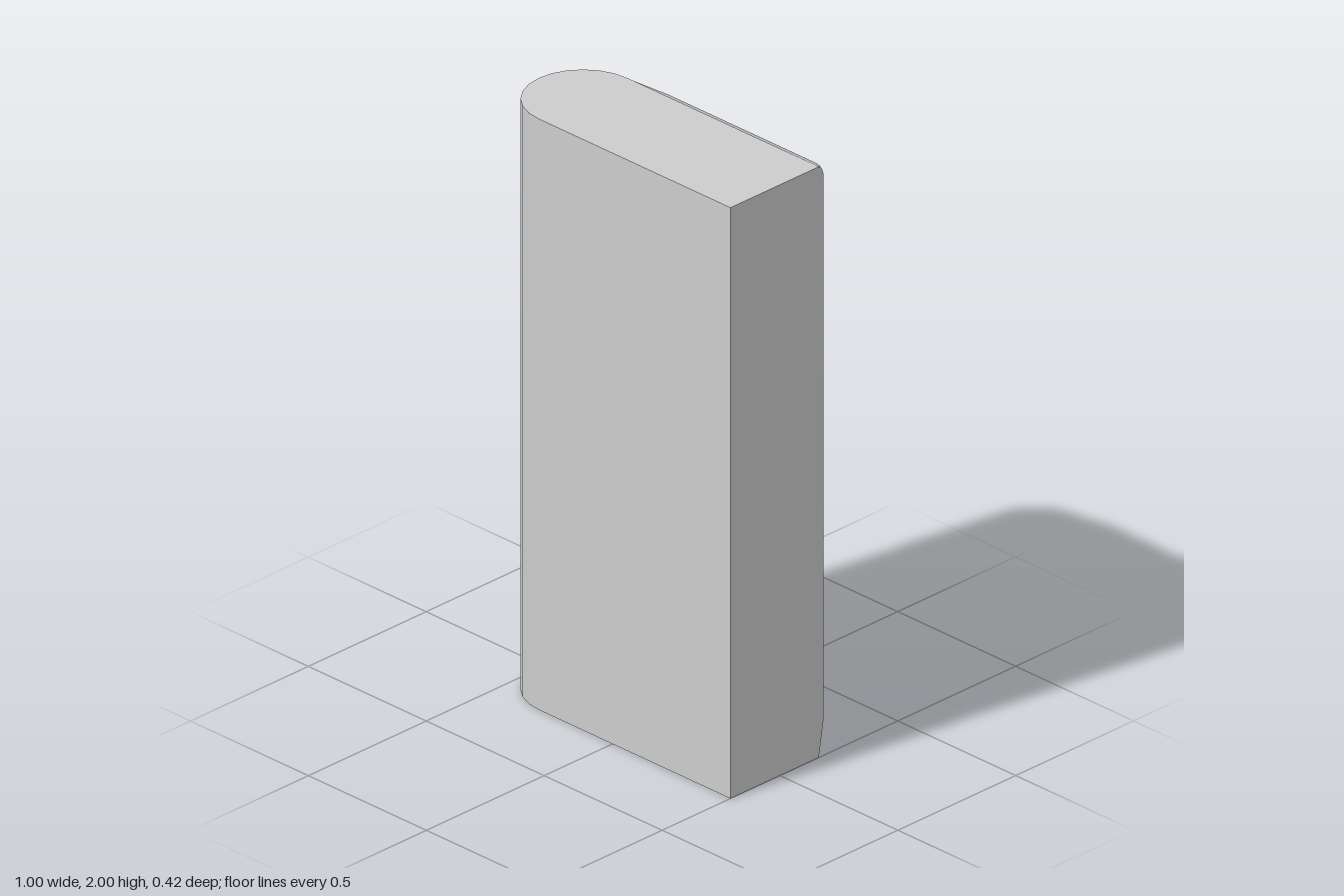
import * as THREE from 'three';

const HEIGHT = 2, RIGHT = 0.5, FRONT = 0.21, BACK = -0.165;
const R = (FRONT - BACK) / 2;            // radius of the rounded side
const CX = -0.5 + R, CZ = (FRONT + BACK) / 2;
const ARC_STEPS = 12;

// Upright slab with one half-round side; the shape's y is -z
function slabGeometry() {
  const pts = [[RIGHT, -FRONT], [RIGHT, -BACK]];
  for (let i = 0; i <= ARC_STEPS; i++) {
    const a = Math.PI / 2 + (Math.PI * i) / ARC_STEPS;
    pts.push([CX + R * Math.cos(a), -CZ + R * Math.sin(a)]);
  }
  const shape = new THREE.Shape(pts.map(([x, y]) => new THREE.Vector2(x, y)));
  const geo = new THREE.ExtrudeGeometry(shape, { depth: HEIGHT, bevelEnabled: false });
  return geo.rotateX(-Math.PI / 2);
}

// Raised back panel: sharp-cornered base lofted to a smaller, round-cornered face
function panelGeometry() {
  const step = Math.PI / ARC_STEPS;
  const baseX = CX - R * Math.sin(step), baseZ = CZ - R * Math.cos(step);
  const x0 = -0.215, x1 = 0.475, y0 = 0.075, y1 = 1.975, z = -0.21, r = 0.03, steps = 6;
  // Corner: base x, y, z, then the arc centre and start angle on the face
  const corners = [
    [RIGHT, HEIGHT, BACK, x1 - r, y1 - r, 0],
    [baseX, HEIGHT, baseZ, x0 + r, y1 - r, 1],
    [baseX, 0, baseZ, x0 + r, y0 + r, 2],
    [RIGHT, 0, BACK, x1 - r, y0 + r, 3],
  ];
  const base = [], face = [];
  for (const [bx, by, bz, cx, cy, quarter] of corners) {
    for (let i = 0; i <= steps; i++) {
      const a = (Math.PI / 2) * (quarter + i / steps);
      base.push([bx, by, bz]);
      face.push([cx + r * Math.cos(a), cy + r * Math.sin(a), z]);
    }
  }
  const centre = [(x0 + x1) / 2, (y0 + y1) / 2, z];
  const pos = [];
  const n = base.length;
  for (let i = 0; i < n; i++) {
    const j = (i + 1) % n;
    pos.push(...base[i], ...face[i], ...face[j]);
    if (i % (steps + 1) === steps) pos.push(...base[i], ...face[j], ...base[j]);
    pos.push(...centre, ...face[j], ...face[i]);
  }
  const geo = new THREE.BufferGeometry();
  geo.setAttribute('position', new THREE.Float32BufferAttribute(pos, 3));
  geo.computeVertexNormals();
  return geo;
}

export function createModel() {
  const grey = new THREE.MeshStandardMaterial({ color: 0xcccccc });
  grey.name = 'light grey';

  const group = new THREE.Group();
  group.name = 'roundedSlab';
  const parts = { slab: slabGeometry(), backPanel: panelGeometry() };
  for (const [name, geo] of Object.entries(parts)) {
    const mesh = new THREE.Mesh(geo, grey);
    mesh.name = name;
    group.add(mesh);
  }
  return group;
}
